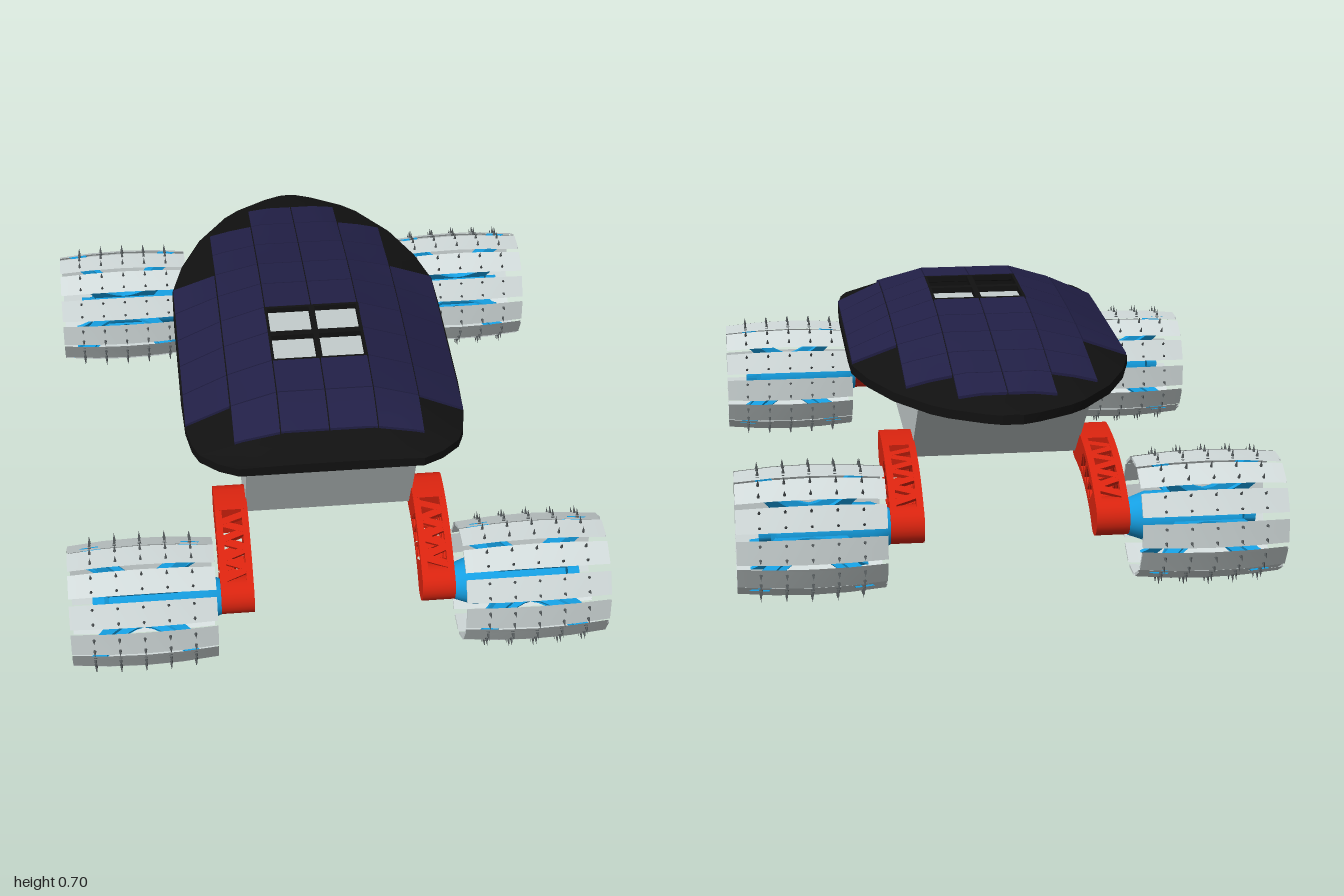
import * as THREE from 'three';
import { mergeGeometries, toCreasedNormals } from 'three/addons/utils/BufferGeometryUtils.js';

const mat = (name, color, side = THREE.FrontSide) =>
  Object.assign(new THREE.MeshStandardMaterial({ color, side }), { name });
const M = {
  hull: mat('pale grey hull', 0xc4cdcd),
  plate: mat('light grey tread', 0xd2dbdb, THREE.DoubleSide),
  spike: mat('dark grey spikes', 0x555b5d),
  red: mat('red arms', 0xdc240f),
  blue: mat('blue hubs', 0x159fe2),
  navy: mat('navy solar cells', 0x222047),
  black: mat('black shell', 0x111111, THREE.DoubleSide),
};

const crease = (g, a = 0.5) => toCreasedNormals(g, a);
function add(parent, name, geo, material) {
  const m = new THREE.Mesh(geo, material);
  m.name = name;
  parent.add(m);
  return m;
}
// Extrude a (z, y) outline across x, centred on x = 0
function extrudeX(shape, depth) {
  return new THREE.ExtrudeGeometry(shape, { depth, bevelEnabled: false })
    .translate(0, 0, -depth / 2).rotateY(-Math.PI / 2);
}
const shapeOf = (pts) => new THREE.Shape(pts.map((p) => new THREE.Vector2(...p)));
function lerpTable(table, v, col) {
  let i = 1;
  while (i < table.length - 1 && table[i][0] < v) i++;
  const a = table[i - 1], b = table[i];
  const t = THREE.MathUtils.clamp((v - a[0]) / (b[0] - a[0]), 0, 1);
  return a[col] + (b[col] - a[col]) * t;
}

// Deck stations: z, half width, crown height
const ROWS = [
  [-0.88, 0.03, 0.575], [-0.86, 0.08, 0.58], [-0.8, 0.18, 0.588], [-0.756, 0.228, 0.596],
  [-0.62, 0.325, 0.618], [-0.466, 0.393, 0.64], [-0.32, 0.432, 0.66], [-0.18, 0.435, 0.676],
  [-0.03, 0.435, 0.688], [0.11, 0.435, 0.69], [0.26, 0.435, 0.69], [0.41, 0.43, 0.68],
  [0.5, 0.415, 0.655], [0.55, 0.395, 0.635], [0.6, 0.34, 0.605], [0.63, 0.28, 0.578],
];
const SECTION = [[0, 1], [0.345, 1], [0.667, 0.6], [1, 0]];
const RIM = 0.573, BASE = 0.545;
function deckHeight(x, z) {
  const u = Math.min(1, Math.abs(x) / lerpTable(ROWS, z, 1));
  return RIM + (lerpTable(ROWS, z, 2) - RIM) * lerpTable(SECTION, u, 1);
}

// Black deck shell, lofted through the stations with a window opening
function deckShell() {
  const us = [-1, -0.667, -0.345, 0, 0.345, 0.667, 1];
  const n = us.length + 2, pos = [], idx = [];
  for (const [z, w] of ROWS) {
    pos.push(-w, BASE, z);
    us.forEach((u) => pos.push(u * w, deckHeight(u * w, z), z));
    pos.push(w, BASE, z);
  }
  const last = (ROWS.length - 1) * n;
  for (let i = 0; i < ROWS.length - 1; i++) {
    const open = ROWS[i][0] >= -0.03 && ROWS[i + 1][0] <= 0.26;
    for (let j = 0; j < n; j++) {
      if (open && (j === 3 || j === 4)) continue;
      const k = (j + 1) % n, a = i * n + j, b = i * n + k, c = b + n, d = a + n;
      idx.push(a, d, c, a, c, b);
    }
  }
  for (let j = 1; j < n - 1; j++) {
    idx.push(0, j, j + 1, last, last + j + 1, last + j);
  }
  const g = new THREE.BufferGeometry();
  g.setAttribute('position', new THREE.Float32BufferAttribute(pos, 3));
  g.setIndex(idx);
  return crease(g, 0.3);
}

// One thin solar cell draped over the deck
function solarCell(x0, x1, z0, z1) {
  const gap = 0.002;
  const g = new THREE.BoxGeometry(x1 - x0 - 2 * gap, 0.009, z1 - z0 - 2 * gap, 4, 1, 4)
    .translate((x0 + x1) / 2, 0.004, (z0 + z1) / 2);
  const p = g.attributes.position;
  for (let i = 0; i < p.count; i++) p.setY(i, p.getY(i) + deckHeight(p.getX(i), p.getZ(i)));
  return crease(g, 0.3);
}
function solarCells() {
  const zs = [-0.756, -0.62, -0.466, -0.32, -0.18, -0.03, 0.11, 0.26, 0.41, 0.55];
  const columns = [[0, 0.148, 0, 9], [0.148, 0.29, 1, 9], [0.29, 0.431, 3, 8]];
  const cells = [];
  columns.forEach(([x0, x1, from, to], c) => {
    for (let r = from; r < to; r++) {
      if (c === 0 && (r === 5 || r === 6)) continue; // window
      cells.push(solarCell(x0, x1, zs[r], zs[r + 1]), solarCell(-x1, -x0, zs[r], zs[r + 1]));
    }
  });
  return mergeGeometries(cells);
}

// Arched truss arm from the wheel hub to the shoulder on the hull
function arm(shoulderZ) {
  const g = new THREE.Group(), H = 0.055;
  const curve = new THREE.QuadraticBezierCurve(new THREE.Vector2(0.787, 0.218),
    new THREE.Vector2(0.65, 0.335), new THREE.Vector2(shoulderZ, 0.33));
  const at = (t, off, along = 0) => {
    const p = curve.getPoint(t), d = curve.getTangent(t);
    return [p.x - d.y * off + d.x * along, p.y + d.x * off + d.y * along];
  };
  const outline = (t0, t1) => {
    const a = [], b = [], N = 10;
    for (let i = 0; i <= N; i++) {
      a.push(at(t0 + ((t1 - t0) * i) / N, H));
      b.unshift(at(t0 + ((t1 - t0) * i) / N, -H));
    }
    const cap = (t, s) => Array.from({ length: 9 }, (_, i) => ((i + 1) * Math.PI) / 10)
      .map((q) => at(t, s * H * Math.cos(q), s * H * Math.sin(q)));
    return shapeOf([...a, ...cap(t1, 1), ...b, ...(t0 === 0 ? cap(0, -1) : [])]);
  };
  const side = outline(0, 1);
  for (let k = 0; k < 6; k++) {
    const tri = [0, 1, 2].map((i) => at(0.14 + (k + i) * 0.085, (k + i) % 2 ? 0.042 : -0.042));
    const cx = (tri[0][0] + tri[1][0] + tri[2][0]) / 3, cy = (tri[0][1] + tri[1][1] + tri[2][1]) / 3;
    side.holes.push(new THREE.Path(tri.map(([x, y]) =>
      new THREE.Vector2(cx + (x - cx) * 0.66, cy + (y - cy) * 0.66))));
  }
  for (const s of [-1, 1]) {
    add(g, 'armSidePlate', crease(extrudeX(side, 0.02).translate(s * 0.04, 0, 0)), M.red);
  }
  add(g, 'armShoulder', crease(extrudeX(outline(0.74, 1), 0.098)), M.red);
  add(g, 'armHubEnd', new THREE.CylinderGeometry(0.058, 0.058, 0.1, 24)
    .rotateZ(Math.PI / 2).translate(0, 0.218, 0.787), M.red);
  // zigzag bars joining the side plates, above and below
  for (let k = 0; k < 7; k++) {
    for (const s of [-1, 1]) {
      const t = 0.14 + k * 0.085, [z, y] = at(t, s * 0.048), d = curve.getTangent(t);
      const bar = add(g, 'armCrossBar', new THREE.BoxGeometry(0.085, 0.012, 0.022)
        .rotateY(k % 2 ? 0.35 : -0.35), M.red);
      bar.position.set(0, y, z);
      bar.rotation.x = Math.atan2(d.y, -d.x);
    }
  }
  return g;
}

// Barrel wheel: twelve flat slats, spikes, bowed spokes and a hub
function wheel() {
  const g = new THREE.Group(), slats = [], spikes = [], spokes = [];
  const radius = (x) => 0.192 - 0.27 * x * x;
  const xs = [-0.218, -0.11, 0, 0.11, 0.218];
  const section = [...xs.map((x) => [radius(x), x]),
    ...xs.map((x) => [radius(x) - 0.009, x]).reverse(), [radius(xs[0]), xs[0]]]
    .map((p) => new THREE.Vector2(...p));
  const bow = new THREE.Shape();
  bow.moveTo(-0.19, 0.178);
  bow.bezierCurveTo(-0.12, 0.15, -0.11, 0.09, -0.1, 0.06);
  bow.lineTo(0.1, 0.06);
  bow.bezierCurveTo(0.11, 0.09, 0.12, 0.15, 0.19, 0.178);
  bow.lineTo(0.13, 0.183);
  bow.bezierCurveTo(0.09, 0.13, 0.05, 0.085, 0, 0.08);
  bow.bezierCurveTo(-0.05, 0.085, -0.09, 0.13, -0.13, 0.183);
  const width = THREE.MathUtils.degToRad(23);
  for (let k = 0; k < 12; k++) {
    const a = (k * Math.PI) / 6;
    slats.push(new THREE.LatheGeometry(section, 1, a - width / 2, width).rotateZ(-Math.PI / 2));
    spokes.push(new THREE.ExtrudeGeometry(bow, { depth: 0.01, bevelEnabled: false, curveSegments: 6 })
      .translate(0, 0, -0.005).rotateX(a));
    for (const x of [-0.15, -0.075, 0, 0.075, 0.15]) {
      for (const s of [-1, 1]) {
        spikes.push(new THREE.ConeGeometry(0.006, 0.03, 5, 1, true)
          .translate(x, radius(x) + 0.006, 0).rotateX(a + s * 0.12));
      }
    }
  }
  add(g, 'wheelSlats', crease(mergeGeometries(slats), 0.3), M.plate);
  add(g, 'wheelSpikes', mergeGeometries(spikes), M.spike);
  add(g, 'wheelSpokes', crease(mergeGeometries(spokes)), M.blue);
  const hub = [[0, -0.235], [0.055, -0.235], [0.075, -0.18], [0.075, 0.1], [0.032, 0.115],
    [0.032, 0.15], [0, 0.15]].map((p) => new THREE.Vector2(...p));
  add(g, 'wheelHub', crease(new THREE.LatheGeometry(hub, 24).rotateZ(-Math.PI / 2)), M.blue);
  return g;
}

export function createModel() {
  const model = new THREE.Group();
  model.name = 'rover';

  add(model, 'hull', extrudeX(shapeOf([[0.5, 0.3], [0.615, 0.55], [-0.69, 0.55], [-0.42, 0.3]]), 0.516), M.hull);
  add(model, 'deckShell', deckShell(), M.black);
  add(model, 'solarCells', solarCells(), M.navy);

  // Window frame with a central cross: x, z, width, depth
  const bars = [[0, 0.115, 0.018, 0.29], [0, 0.118, 0.3, 0.024], [-0.146, 0.115, 0.01, 0.29],
    [0.146, 0.115, 0.01, 0.29], [0, -0.025, 0.3, 0.01], [0, 0.257, 0.3, 0.01]];
  for (const [x, z, w, d] of bars) {
    add(model, 'windowBar', new THREE.BoxGeometry(w, 0.018, d).translate(x, 0.688, z), M.black);
  }

  for (const sx of [-1, 1]) {
    for (const sz of [-1, 1]) {
      const a = arm(sz > 0 ? 0.49 : 0.41);
      a.name = sz > 0 ? 'frontArm' : 'backArm';
      a.position.x = sx * 0.305;
      a.scale.set(sx, 1, sz);
      const w = wheel();
      w.name = sz > 0 ? 'frontWheel' : 'backWheel';
      w.position.set(sx * 0.59, 0.213, sz * 0.787);
      w.scale.x = sx;
      model.add(a, w);
    }
  }
  return model;
}
